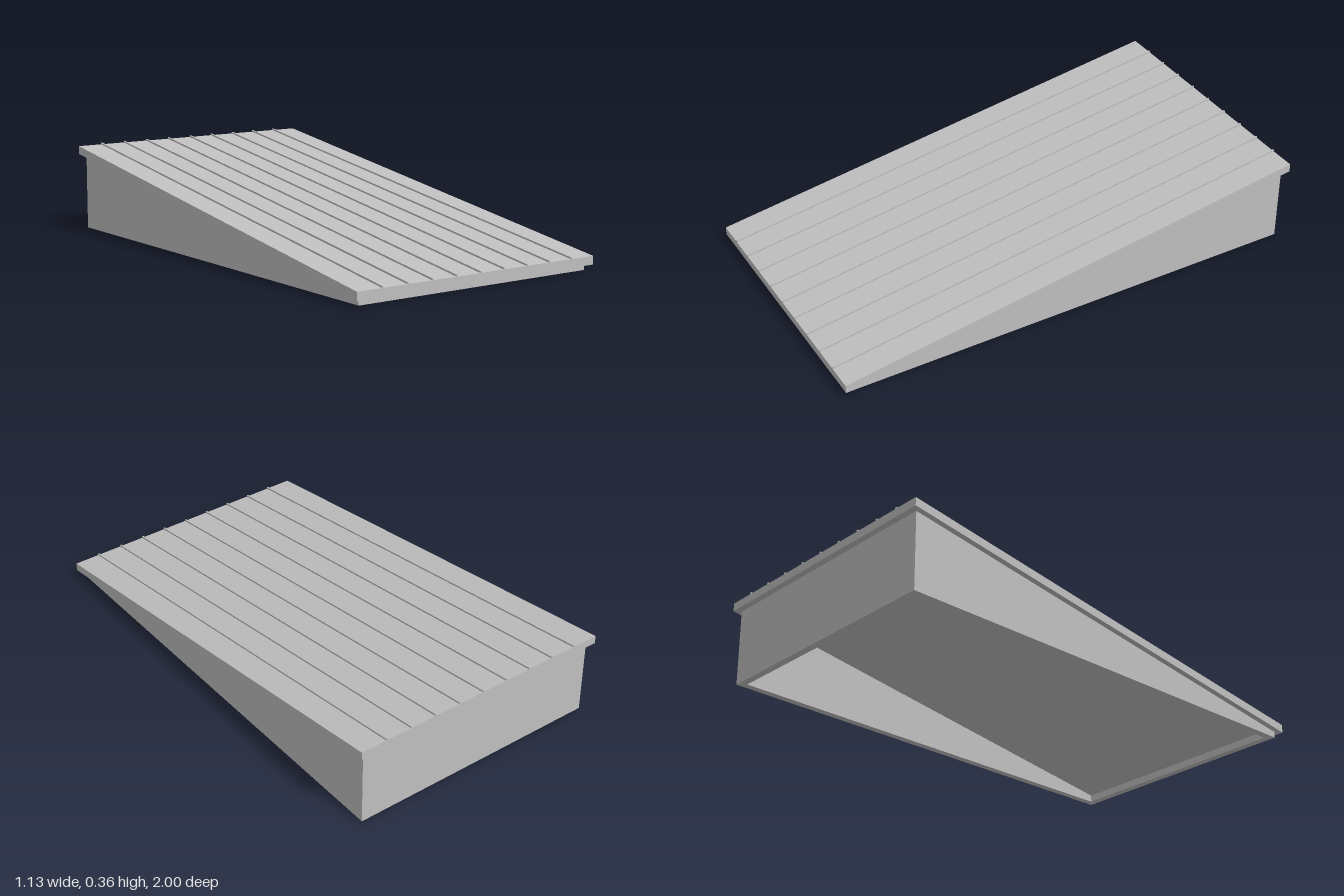
import * as THREE from 'three';

const HALF_WIDTH = 0.565;
const WALL_X = 0.541, WALL_Z = 0.977, WALL_T = 0.03;
const SLAB = 0.034, RIB = 0.007;

// Height of the sloping slab's underside at depth z
const underside = (z) => 0.172 - 0.15 * z;

export function createModel() {
  const group = new THREE.Group();
  const grey = new THREE.MeshStandardMaterial({ color: 0xbfbfbf });
  grey.name = 'plain grey';

  // Side profile from z0 (front) to z1 (back), extruded across the width
  function addPrism(name, x, width, z0, z1, low, high) {
    const shape = new THREE.Shape([
      new THREE.Vector2(-z0, low(z0)),
      new THREE.Vector2(-z1, low(z1)),
      new THREE.Vector2(-z1, high(z1)),
      new THREE.Vector2(-z0, high(z0)),
    ]);
    const geometry = new THREE.ExtrudeGeometry(shape, { depth: width, bevelEnabled: false });
    geometry.translate(0, 0, -width / 2);
    geometry.rotateY(Math.PI / 2);
    const mesh = new THREE.Mesh(geometry, grey);
    mesh.name = name;
    mesh.position.x = x;
    group.add(mesh);
  }

  const ground = () => 0;
  const top = (z) => underside(z) + SLAB;

  // Sloping roof slab
  addPrism('roofSlab', 0, HALF_WIDTH * 2, 1, -1, underside, top);

  // Raised seams running down the slope
  for (let i = -4; i <= 4; i++) {
    addPrism('roofSeam', i * HALF_WIDTH / 5, RIB, 1, -1, top, (z) => top(z) + RIB);
  }

  // Hollow base, open underneath
  for (const side of [-1, 1]) {
    const name = side > 0 ? 'leftWall' : 'rightWall';
    addPrism(name, side * (WALL_X - WALL_T / 2), WALL_T, WALL_Z, -WALL_Z, ground, underside);
  }
  const inner = (WALL_X - WALL_T) * 2;
  addPrism('frontWall', 0, inner, WALL_Z, WALL_Z - WALL_T, ground, underside);
  addPrism('backWall', 0, inner, -WALL_Z + WALL_T, -WALL_Z, ground, underside);

  return group;
}
